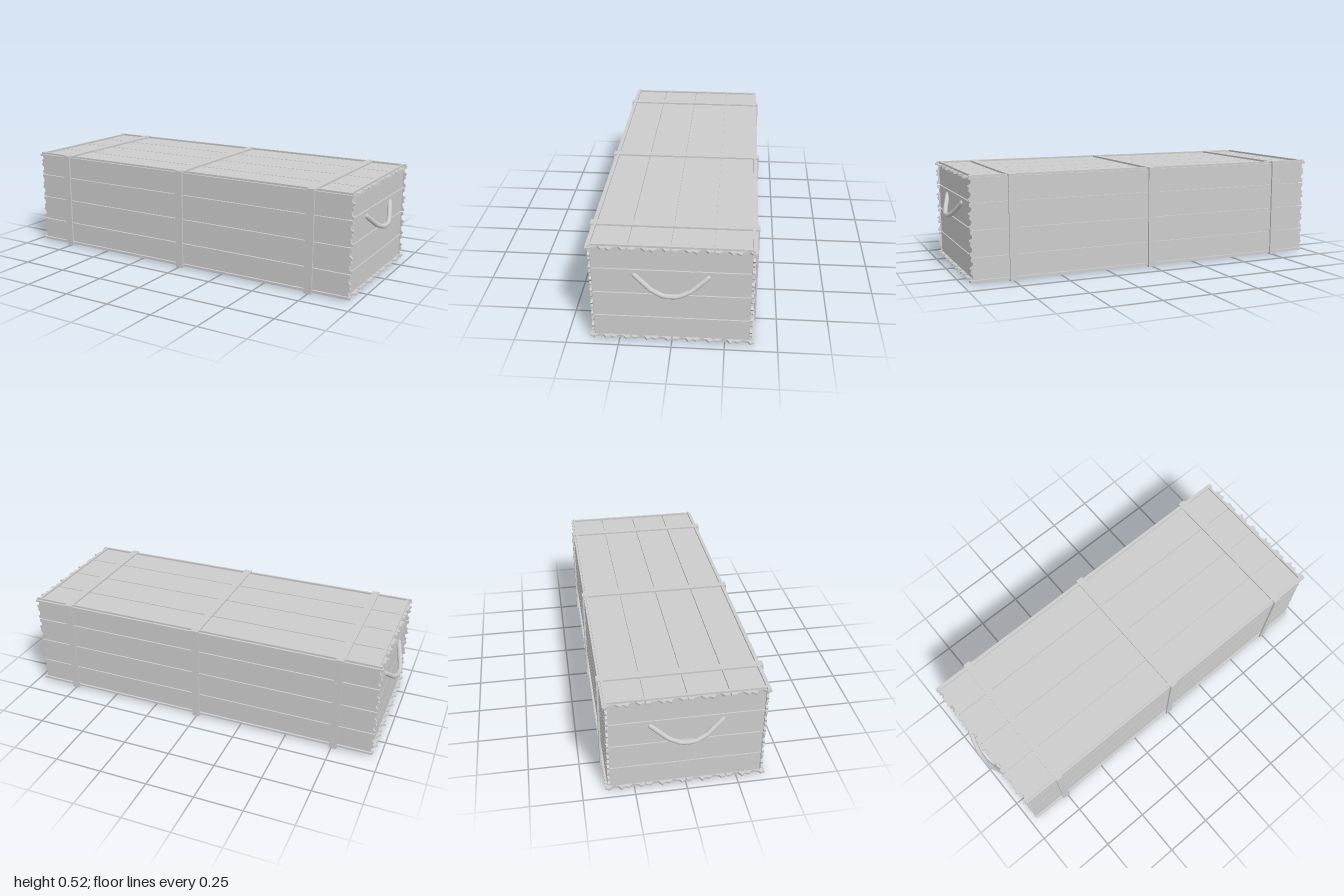
import * as THREE from 'three';

const material = new THREE.MeshStandardMaterial({ color: 0xcccccc, flatShading: true });
const smooth = new THREE.MeshStandardMaterial({ color: 0xcccccc });

// How far the splintered end steps back along the width of one plank
const SPLINTERS = [
  [0, 0.006], [0.1, 0.003], [0.16, 0.012], [0.3, 0.017], [0.4, 0.004], [0.5, 0.01],
  [0.6, 0.0], [0.68, 0.016], [0.8, 0.018], [0.88, 0.006], [1, 0.009],
];

function addMesh(parent, name, geometry, mat = material) {
  const mesh = new THREE.Mesh(geometry, mat);
  mesh.name = name;
  parent.add(mesh);
  return mesh;
}

function addBox(parent, name, size, position) {
  const mesh = addMesh(parent, name, new THREE.BoxGeometry(...size));
  mesh.position.set(...position);
  return mesh;
}

// Plank along x with splintered ends, width along y, thickness along z
function plankGeometry(halfLength, width, thickness, depth) {
  const right = SPLINTERS.map(([t, d]) => new THREE.Vector2(halfLength - d * depth, (t - 0.5) * width));
  const left = SPLINTERS.map(([t, d]) => new THREE.Vector2(-halfLength + d * depth, (0.5 - t) * width));
  const geometry = new THREE.ExtrudeGeometry(new THREE.Shape([...right, ...left]), {
    depth: thickness, bevelEnabled: false,
  });
  return geometry.translate(0, 0, -thickness / 2);
}

export function createModel() {
  const crate = new THREE.Group();
  crate.name = 'crate';

  // Inner lining seen in the seams
  addBox(crate, 'lining', [1.874, 0.484, 0.734], [0, 0.2625, 0]);

  // Four planks on each face
  const lidPlank = plankGeometry(0.972, 0.19, 0.01, 1.5);
  const wallPlank = plankGeometry(0.964, 0.1265, 0.011, 0.9);
  for (let i = 0; i < 4; i++) {
    const z = -0.294 + i * 0.196;
    const y = 0.0685 + i * 0.132;
    const lid = addMesh(crate, 'lidPlank', lidPlank);
    lid.rotation.x = -Math.PI / 2;
    lid.position.set(0, 0.51, z);
    const base = addMesh(crate, 'basePlank', lidPlank);
    base.rotation.x = Math.PI / 2;
    base.position.set(0, 0.015, z);
    for (const side of [-1, 1]) {
      const wall = addMesh(crate, 'wallPlank', wallPlank);
      wall.position.set(0, y - 0.003, side * 0.3725);
      addBox(crate, 'endPlank', [0.012, 0.1265, 0.736], [side * 0.939, y - 0.003, 0]);
    }
  }

  // Three square bands around the crate
  for (const x of [-0.757, 0.004, 0.75]) {
    const band = new THREE.Group();
    band.name = 'band';
    band.position.x = x;
    for (const side of [-1, 1]) {
      addBox(band, 'bandUpright', [0.04, 0.524, 0.009], [0, 0.262, side * 0.393]);
      addBox(band, 'bandCrosspiece', [0.04, 0.01, 0.777], [0, 0.262 + side * 0.257, 0]);
    }
    crate.add(band);
  }

  // Sagging rope handle on each end
  for (const side of [-1, 1]) {
    const handle = new THREE.Group();
    handle.name = 'handle';
    const points = [
      [0.945, 0.366, 0.17], [0.974, 0.306, 0.09], [0.988, 0.285, 0.032],
      [0.988, 0.285, -0.032], [0.974, 0.306, -0.09], [0.945, 0.366, -0.17],
    ].map(([x, y, z]) => new THREE.Vector3(side * x, y, z));
    const path = new THREE.CatmullRomCurve3(points, false, 'catmullrom', 0.1);
    addMesh(handle, 'handleRope', new THREE.TubeGeometry(path, 20, 0.012, 10), smooth);
    for (const end of [points[0], points[5]]) {
      addMesh(handle, 'handleEnd', new THREE.SphereGeometry(0.012, 10, 6), smooth).position.copy(end);
    }
    crate.add(handle);
  }
  return crate;
}
